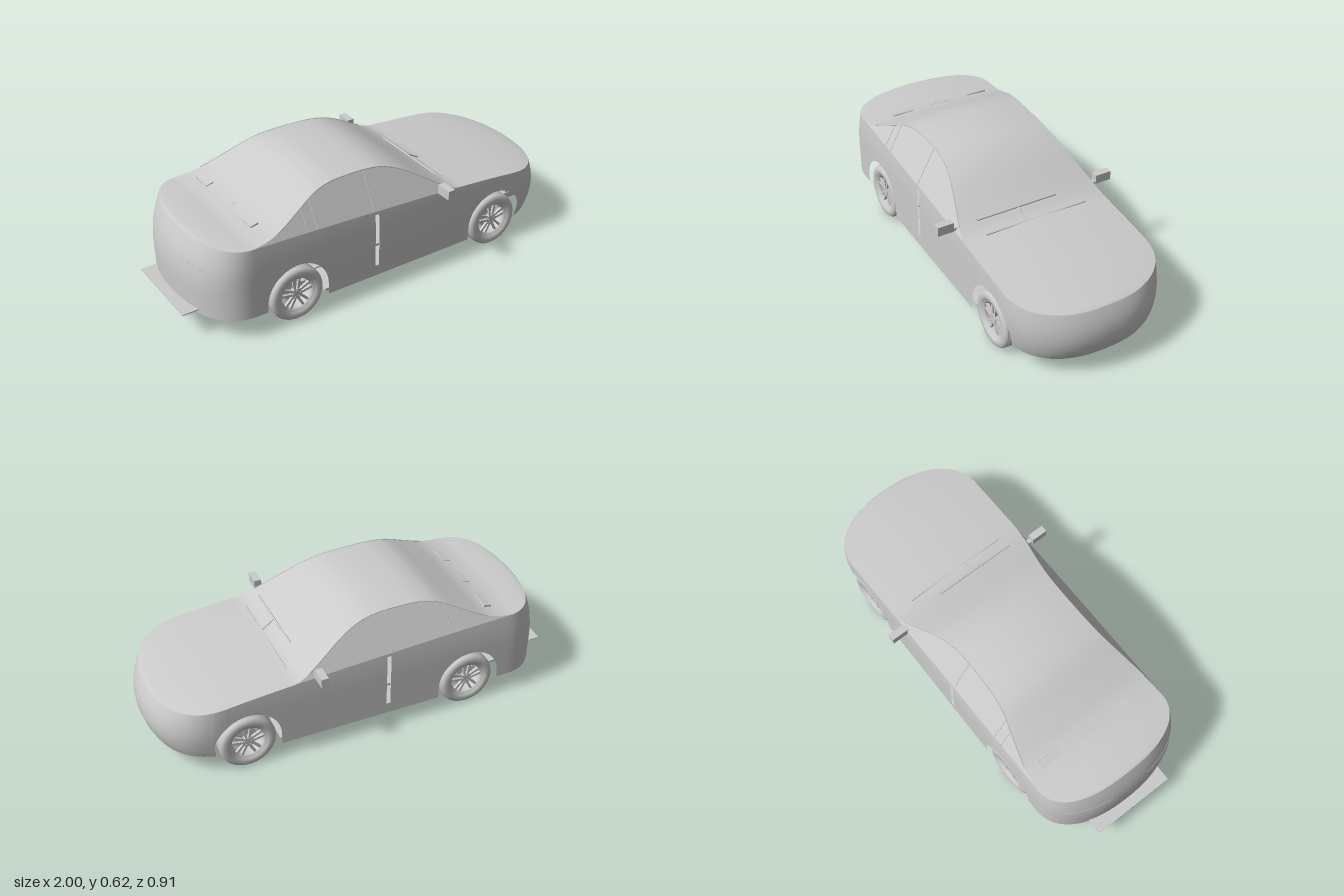
import * as THREE from 'three';

const MAT = new THREE.MeshStandardMaterial({ color: 0xcccccc, side: THREE.DoubleSide });
const V = (x, y, z) => new THREE.Vector3(x, y, z);
const clamp = THREE.MathUtils.clamp;

function add(parent, name, geometry, x = 0, y = 0, z = 0) {
  const mesh = new THREE.Mesh(geometry, MAT);
  mesh.name = name;
  mesh.position.set(x, y, z);
  parent.add(mesh);
  return mesh;
}
const box = (g, name, sx, sy, sz, x, y, z) => add(g, name, new THREE.BoxGeometry(sx, sy, sz), x, y, z);
const rod = (g, name, a, b, r) => add(g, name, new THREE.TubeGeometry(new THREE.LineCurve3(a, b), 1, r, 8));

// Smooth surface through columns of points; optionally closed, optionally with quads left out
function skin(cols, closed = false, skip = () => false) {
  const n = cols[0].length, index = [];
  for (let i = 0; i < cols.length - (closed ? 0 : 1); i++) {
    const k = (i + 1) % cols.length;
    for (let j = 0; j < n - 1; j++) {
      if (skip(cols[i][j], cols[k][j], j)) continue;
      const a = i * n + j, b = k * n + j;
      index.push(a, a + 1, b + 1, a, b + 1, b);
    }
  }
  const geo = new THREE.BufferGeometry().setFromPoints(cols.flat());
  geo.setIndex(index);
  geo.computeVertexNormals();
  return geo;
}

// Curves along the length of the car
function along(pairs) {
  const it = new THREE.CubicInterpolant(pairs.map(p => p[0]), pairs.map(p => p[1]), 1);
  return x => it.evaluate(x)[0];
}
const belt = along([[-0.955, 0.462], [-0.5, 0.447], [0, 0.423], [0.3, 0.406], [0.4, 0.399], [0.7, 0.373], [0.99, 0.336]]);
const cabin = along([[-0.8, 0], [-0.71, 0.002], [-0.6, 0.028], [-0.5, 0.079], [-0.36, 0.154], [-0.28, 0.176],
  [-0.2, 0.183], [-0.1, 0.186], [0, 0.178], [0.1, 0.143], [0.2, 0.086], [0.28, 0.038], [0.36, 0.002], [0.42, 0]]);
const rise = x => (x < -0.76 || x > 0.39 ? 0 : Math.max(0, cabin(x)));

// Plan outline: straight sides with rounded nose and tail
const POW = 2.3, HALF = 0.373;
function width(x) {
  const u = x > 0.7 ? (x - 0.7) / 0.29 : x < -0.72 ? (-0.72 - x) / 0.235 : 0;
  return HALF * Math.pow(Math.max(0, 1 - Math.pow(Math.min(u, 1), POW)), 1 / POW);
}

const WHEELS = [0.605, -0.507], ARCH = 0.157, ARCH_Y = 0.144;
function sill(x) {
  for (const c of WHEELS) {
    const d = Math.abs(x - c);
    if (d <= ARCH) return ARCH_Y + Math.sqrt(ARCH * ARCH - d * d);
  }
  return x > 0.5 ? 0.095 : x < -0.6 ? 0.11 : 0.085;
}

// Point on the body wall, with nose, tail and sides tucked in by height
function wall(x, y) {
  const f = clamp((x - 0.5) / 0.49, 0, 1) ** 2, r = clamp((-x - 0.5) / 0.455, 0, 1) ** 2;
  const nose = y < 0.2 ? -0.03 * ((0.2 - y) / 0.1) ** 2 : -0.04 * ((y - 0.2) / 0.14) ** 2;
  const tail = y > 0.25 ? 0.055 * ((y - 0.25) / 0.215) ** 2 : 0.005 * ((0.25 - y) / 0.14);
  const low = 0.08 * clamp((x - 0.6) / 0.2, 0, 1) * (Math.max(0, 0.25 - y) / 0.16) ** 1.5;
  const high = 0.025 * (Math.max(0, y - 0.3) / 0.15) ** 2;
  return V(x + f * nose * 1 + 0.01 * f + r * tail, y, width(x) * (1 - low - high));
}

// Stations from nose to tail, dense at the rounded ends and wheel arches
function stations() {
  const xs = [-0.095, -0.075];
  for (let i = 0; i <= 22; i++) {
    const c = Math.pow(Math.cos(i / 22 * Math.PI / 2), 2 / POW);
    if (0.7 + 0.29 * c > 0.77) xs.push(0.7 + 0.29 * c);
    xs.push(-0.722 - 0.233 * c);
  }
  for (let x = -0.7; x < 0.73; x += 0.03) xs.push(x);
  for (const c of WHEELS) {
    xs.push(c - ARCH - 0.001, c + ARCH + 0.001);
    for (let i = 0; i <= 24; i++) xs.push(c + ARCH * 0.99999 * Math.cos(i / 24 * Math.PI));
  }
  return xs.sort((a, b) => b - a).filter((x, i, a) => i === 0 || a[i - 1] - x > 0.0004);
}

// Belt point and roof-edge point at a station
function section(x) {
  const b = wall(x, belt(x)), h = rise(b.x) * 0.95;
  return { b, e: V(b.x, b.y + h, b.z - 0.53 * h) };
}

function buildBody(car) {
  const xs = stations(), flip = p => V(p.x, p.y, -p.z);
  // Lower shell, open below, with the slit between the doors
  const rows = [0, 0.08, 0.16, 0.3, 0.45, 0.6, 0.72, 0.84, 0.955, 1];
  const left = xs.map(x => rows.map(t => wall(x, THREE.MathUtils.lerp(sill(x), belt(x), t))));
  const right = left.slice(1, -1).reverse().map(c => c.map(flip));
  const slit = (p, q, j) => Math.abs((p.x + q.x) / 2 + 0.085) < 0.0099 && j >= 2 && j < 8;
  add(car, 'bodyShell', skin([...left, ...right], true, slit));

  // Bonnet, windscreen, roof, rear window and boot lid as one domed skin
  const secs = xs.map(section);
  add(car, 'bonnetRoofAndBoot', skin(secs.map(({ b, e }) => {
    const dome = 0.014 * e.z / 0.36 + 0.05 * (e.y - b.y);
    return Array.from({ length: 21 }, (_, j) => {
      const s = 1 - j / 10;
      return V(e.x, e.y + dome * (1 - s * s), e.z * s);
    });
  })));

  // Sloping side windows
  const glass = secs.filter(({ b }) => b.x > -0.76 && b.x < 0.39)
    .map(({ b, e }) => [0, 0.25, 0.5, 0.75, 1].map(t => b.clone().lerp(e, t)));
  add(car, 'leftSideWindows', skin(glass));
  add(car, 'rightSideWindows', skin(glass.map(c => c.map(flip).reverse())));

  for (const s of [1, -1]) {
    const m = p => V(p.x, p.y, p.z * s);
    // Window pillars, rain gutter, door latch and tail seam
    for (const x of [-0.1, -0.4, -0.45]) {
      const { b, e } = section(x);
      rod(car, 'windowPillar', m(b), m(e), 0.002);
    }
    const gutter = [];
    for (let x = -0.6; x < 0.31; x += 0.05) gutter.push(m(section(x).e));
    add(car, 'roofGutter', new THREE.TubeGeometry(new THREE.CatmullRomCurve3(gutter), 40, 0.0025, 6));
    box(car, 'doorLatch', 0.02, 0.012, 0.008, -0.085, 0.25, s * 0.365);
    const seam = [-0.86, -0.89, -0.92, -0.94, -0.95].map(x => m(wall(x, 0.35)));
    add(car, 'tailSeam', new THREE.TubeGeometry(new THREE.CatmullRomCurve3(seam), 16, 0.0015, 5));
    // Door mirror on its arm
    const mirror = new THREE.Group();
    mirror.name = 'doorMirror';
    box(mirror, 'mirrorHousing', 0.035, 0.046, 0.08, 0.268, 0.438, s * 0.415);
    box(mirror, 'mirrorArm', 0.022, 0.014, 0.04, 0.272, 0.421, s * 0.362);
    car.add(mirror);
  }
}

function buildWheel() {
  const g = new THREE.Group();
  g.name = 'wheel';
  const lathe = pts => new THREE.LatheGeometry(pts.map(p => new THREE.Vector2(p[0], p[1])), 48).rotateX(Math.PI / 2);
  // Tyre profile with tread grooves
  const tyre = [[0.09, -0.034], [0.098, -0.041], [0.113, -0.0425], [0.126, -0.039], [0.133, -0.031]];
  for (const z of [-0.02, 0, 0.02]) tyre.push([0.135, z - 0.004], [0.13, z - 0.002], [0.13, z + 0.002], [0.135, z + 0.004]);
  tyre.push([0.133, 0.031], [0.126, 0.039], [0.113, 0.0425], [0.098, 0.041], [0.09, 0.034]);
  add(g, 'tyre', lathe(tyre));
  add(g, 'rim', lathe([[0.09, -0.034], [0.078, -0.03], [0.076, 0.022], [0.08, 0.031], [0.09, 0.034]]));
  // Five paired spokes, hub, nuts and brake disc
  for (let i = 0; i < 5; i++) {
    const spoke = new THREE.Group();
    spoke.name = 'spoke';
    for (const s of [1, -1]) box(spoke, 'spokeArm', 0.011, 0.066, 0.012, s * 0.0115, 0.046, 0.022).rotation.z = -s * 0.13;
    add(spoke, 'wheelNut', new THREE.CylinderGeometry(0.004, 0.004, 0.008, 6).rotateX(Math.PI / 2), 0, 0.018, 0.03);
    spoke.rotation.z = i * Math.PI * 2 / 5;
    g.add(spoke);
  }
  add(g, 'hub', new THREE.CylinderGeometry(0.026, 0.028, 0.02, 24).rotateX(Math.PI / 2), 0, 0, 0.02);
  add(g, 'brakeDisc', new THREE.CylinderGeometry(0.052, 0.052, 0.008, 32).rotateX(Math.PI / 2), 0, 0, -0.012);
  return g;
}

function buildUnderside(car) {
  const g = new THREE.Group();
  g.name = 'underside';
  box(g, 'floorPan', 0.8, 0.012, 0.7, 0.045, 0.092, 0);
  box(g, 'rearFloor', 0.54, 0.012, 0.5, -0.62, 0.1, 0);
  box(g, 'fuelTank', 0.2, 0.03, 0.42, -0.35, 0.09, -0.02);
  box(g, 'spareWheelTray', 0.2, 0.028, 0.4, -0.78, 0.09, 0);
  box(g, 'rearPlate', 0.12, 0.005, 0.42, -0.94, 0.13, 0);
  for (const z of [-0.14, 0.14]) box(g, 'floorRib', 0.4, 0.006, 0.02, 0.2, 0.084, z);
  // Front subframe, engine and suspension
  for (const s of [1, -1]) {
    box(g, 'frameRail', 0.46, 0.03, 0.03, 0.65, 0.12, s * 0.19);
    for (const x of [0.54, 0.66]) rod(g, 'suspensionArm', V(x, 0.12, s * 0.15), V(0.605, 0.13, s * 0.31), 0.01);
    rod(g, 'strut', V(0.605, 0.14, s * 0.27), V(0.595, 0.33, s * 0.24), 0.014);
    rod(g, 'rearStrut', V(-0.507, 0.14, s * 0.27), V(-0.507, 0.33, s * 0.24), 0.014);
  }
  for (const x of [0.47, 0.6, 0.72, 0.85]) box(g, 'crossMember', 0.025, 0.02, 0.4, x, 0.11, 0);
  box(g, 'engine', 0.2, 0.1, 0.2, 0.65, 0.17, 0);
  box(g, 'gearbox', 0.14, 0.07, 0.12, 0.49, 0.15, 0);
  box(g, 'radiator', 0.03, 0.15, 0.4, 0.84, 0.2, 0);
  for (const x of WHEELS) rod(g, 'axle', V(x, 0.14, -0.32), V(x, 0.14, 0.32), 0.012);
  car.add(g);
}

export function createModel() {
  const car = new THREE.Group();
  car.name = 'car';
  buildBody(car);
  buildUnderside(car);

  for (const x of WHEELS) for (const s of [1, -1]) {
    const wheel = buildWheel();
    wheel.position.set(x, 0.137, s * 0.327);
    if (s < 0) wheel.rotation.y = Math.PI;
    car.add(wheel);
  }

  // Boot vents at the foot of the rear window
  for (const z of [-0.23, -0.02, 0.18]) box(car, 'bootVent', 0.038, 0.016, 0.104, -0.637, 0.475, z).rotation.z = 0.25;

  // Wipers and the cowl rail
  rod(car, 'cowlRail', V(0.375, 0.413, -0.26), V(0.375, 0.413, 0.26), 0.004);
  rod(car, 'wiperBlade', V(0.305, 0.452, -0.14), V(0.305, 0.452, 0.27), 0.005);
  rod(car, 'wiperArm', V(0.375, 0.415, 0.05), V(0.305, 0.456, 0.06), 0.003);
  return car;
}
